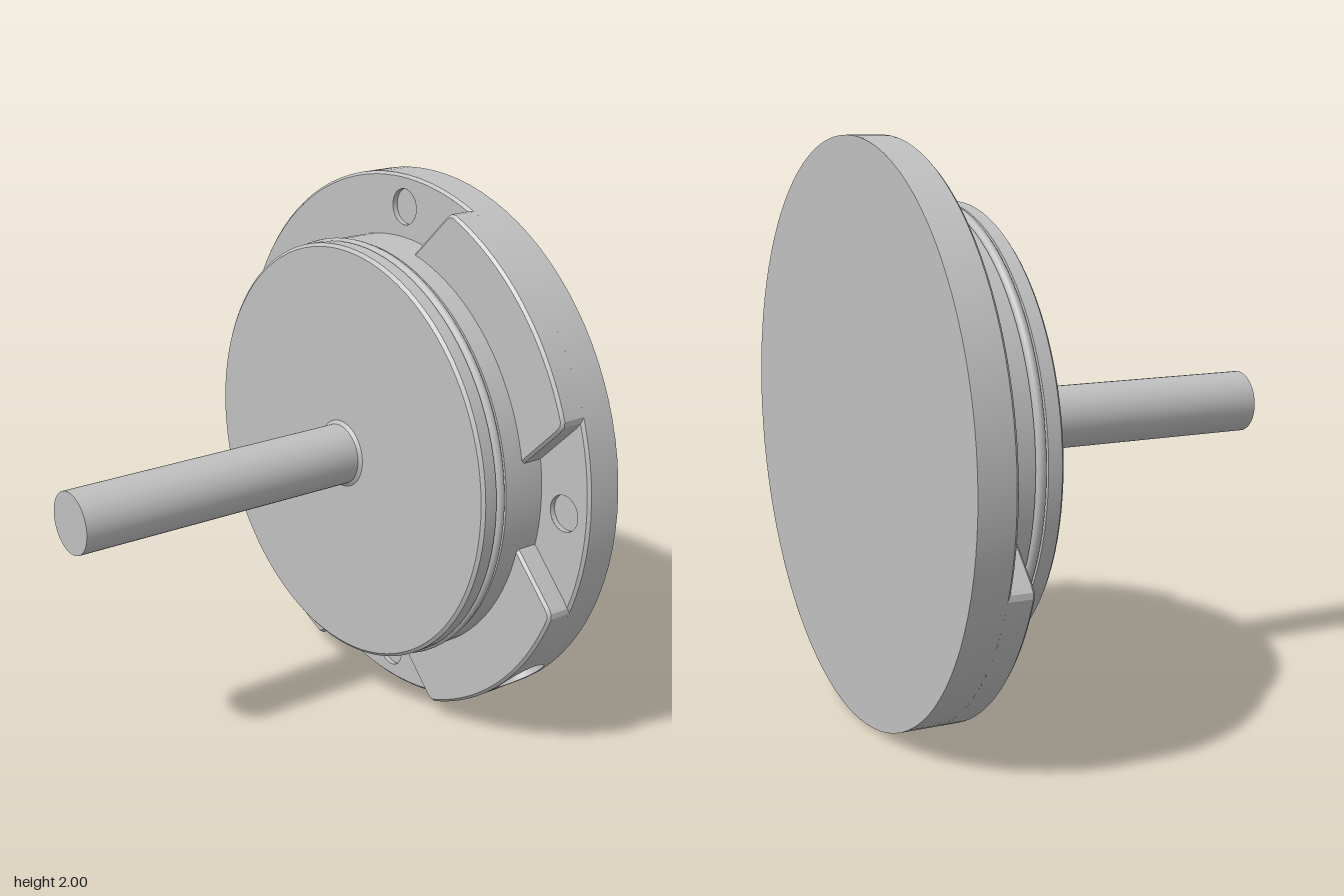
import * as THREE from 'three';
import { toCreasedNormals } from 'three/addons/utils/BufferGeometryUtils.js';

const RAD = Math.PI / 180;
const BACK = -0.77, FLOOR = -0.635, PAD_TOP = -0.55, BEVEL = 0.01;
const PAD_WALL_TOP = PAD_TOP - BEVEL;
const PORT = { angle: -45 * RAD, half: 8 * RAD, r: 0.092, z: -0.66, inner: 0.8 };

const steel = new THREE.MeshStandardMaterial({ color: 0xc0c0c0, side: THREE.DoubleSide });
steel.name = 'light grey steel';

// Profile of [radius, z] pairs turned about the z axis; angles count from +x
function turned(profile, segments = 96, start = 0, length = Math.PI * 2) {
  const pts = profile.map(([r, z]) => new THREE.Vector2(r, z));
  const geo = new THREE.LatheGeometry(pts, segments, start + Math.PI / 2, length);
  return toCreasedNormals(geo.rotateX(Math.PI / 2), 0.4);
}

// Keeps only the triangles whose centre passes the test
function keepTriangles(geo, test) {
  const src = geo.index ? geo.toNonIndexed() : geo;
  const p = src.attributes.position, out = [], c = new THREE.Vector3(), v = new THREE.Vector3();
  for (let i = 0; i < p.count; i += 3) {
    c.set(0, 0, 0);
    for (let k = 0; k < 3; k++) c.add(v.fromBufferAttribute(p, i + k));
    if (!test(c.divideScalar(3))) continue;
    for (let k = 0; k < 3; k++) out.push(p.getX(i + k), p.getY(i + k), p.getZ(i + k));
  }
  const res = new THREE.BufferGeometry();
  res.setAttribute('position', new THREE.Float32BufferAttribute(out, 3));
  return toCreasedNormals(res, 0.4);
}

// Raised pad pointing along +x: a straight strip ending in the rim arc, corners eased
function padGeometry(withPort) {
  const half = 0.424, pts = [[0.62, -half], [0.87, -half], [0.898, -0.42]];
  for (let a = -24; a <= 24; a += 2) pts.push([Math.cos(a * RAD), Math.sin(a * RAD)]);
  pts.push([0.898, 0.42], [0.87, half], [0.62, half]);
  const shape = new THREE.Shape(pts.map(([x, y]) => new THREE.Vector2(x, y)));
  const bottom = FLOOR - BEVEL;
  const geo = new THREE.ExtrudeGeometry(shape, {
    depth: PAD_WALL_TOP - bottom, bevelSize: BEVEL, bevelThickness: BEVEL,
    bevelOffset: -BEVEL, bevelSegments: 1,
  }).translate(0, 0, bottom);
  return keepTriangles(geo, (c) => {
    if (c.z < bottom - 0.0005) return false;
    const inPort = Math.abs(Math.atan2(c.y, c.x)) < PORT.half
      && Math.hypot(c.x, c.y) > 0.985 && c.z < PAD_WALL_TOP - 0.001;
    return !(withPort && inPort);
  });
}

// Piece of rim wall with a round opening, bent round the z axis
function portWallGeometry() {
  const shape = new THREE.Shape(), n = 16;
  const at = (i) => -PORT.half + (2 * PORT.half * i) / n;
  shape.moveTo(at(0), BACK);
  for (let i = 1; i <= n; i++) shape.lineTo(at(i), BACK);
  for (let i = n; i >= 0; i--) shape.lineTo(at(i), PAD_WALL_TOP);
  shape.closePath();
  shape.holes.push(new THREE.Path().absarc(0, PORT.z, PORT.r, 0, Math.PI * 2, true));
  const geo = new THREE.ShapeGeometry(shape, 32);
  const p = geo.attributes.position;
  for (let i = 0; i < p.count; i++) {
    const a = PORT.angle + p.getX(i);
    p.setXYZ(i, Math.cos(a), Math.sin(a), p.getY(i));
  }
  geo.computeVertexNormals();
  return geo;
}

// Bore running inward from the rim, its mouth following the rim curve
function portBoreGeometry() {
  const geo = new THREE.CylinderGeometry(PORT.r, PORT.r, 1, 40, 1, true).rotateZ(-Math.PI / 2);
  const p = geo.attributes.position;
  for (let i = 0; i < p.count; i++) {
    p.setX(i, p.getX(i) > 0 ? Math.sqrt(1 - p.getY(i) ** 2) : PORT.inner);
  }
  geo.translate(0, 0, PORT.z).rotateZ(PORT.angle);
  return geo;
}

export function createModel() {
  const model = new THREE.Group();
  model.name = 'flangedShaft';
  const axis = new THREE.Group();
  axis.name = 'turnedParts';
  axis.position.y = 1;
  model.add(axis);
  const add = (name, geo) => {
    const mesh = new THREE.Mesh(geo, steel);
    mesh.name = name;
    axis.add(mesh);
    return mesh;
  };

  // Flange: back face, rim with eased front edge, recessed floor
  add('flangeBack', new THREE.CircleGeometry(1, 96).rotateY(Math.PI).translate(0, 0, BACK));
  add('flangeRim', turned([[1, BACK], [1, FLOOR - BEVEL], [1 - BEVEL, FLOOR]], 92,
    PORT.angle + PORT.half, Math.PI * 2 - 2 * PORT.half));

  const floor = new THREE.Shape();
  floor.absarc(0, 0, 1 - BEVEL, -30 * RAD, 300 * RAD, false);
  floor.absarc(0, 0, 0.76, 300 * RAD, -30 * RAD, true);
  const holeR = 0.065, holeDepth = 0.02;
  for (let i = 0; i < 4; i++) {
    const x = 0.885 * Math.cos(i * Math.PI / 2), y = 0.885 * Math.sin(i * Math.PI / 2);
    floor.holes.push(new THREE.Path().absarc(x, y, holeR, 0, Math.PI * 2, true));
    // Shallow blind hole
    add('boltHole', turned([[0, FLOOR - holeDepth], [holeR, FLOOR - holeDepth], [holeR, FLOOR]], 32))
      .position.set(x, y, 0);
  }
  add('flangeFloor', new THREE.ShapeGeometry(floor, 64).translate(0, 0, FLOOR));

  // Three raised pads; the lower one on the +x side carries the radial port
  for (const deg of [45, -45, -135]) {
    add('raisedPad', padGeometry(deg === -45)).rotation.z = deg * RAD;
  }
  add('portWall', portWallGeometry());
  add('portBore', portBoreGeometry());
  add('portEnd', new THREE.CircleGeometry(PORT.r, 40).rotateY(Math.PI / 2)
    .translate(PORT.inner, 0, PORT.z).rotateZ(PORT.angle));

  // Boss with a seal groove and eased front edge
  add('boss', turned([[0.775, FLOOR - 0.01], [0.775, -0.472], [0.757, -0.472], [0.757, -0.428],
    [0.775, -0.428], [0.775, -0.38], [0.763, -0.37], [0, -0.37]]));
  const seal = new THREE.TorusGeometry(0.765, 0.018, 12, 96);
  add('sealRing', seal.translate(0, 0, -0.45));

  // Shaft with a small collar at its root
  add('shaft', turned([[0.125, -0.37], [0.112, -0.36], [0.112, 0.77], [0, 0.77]], 40));

  return model;
}
